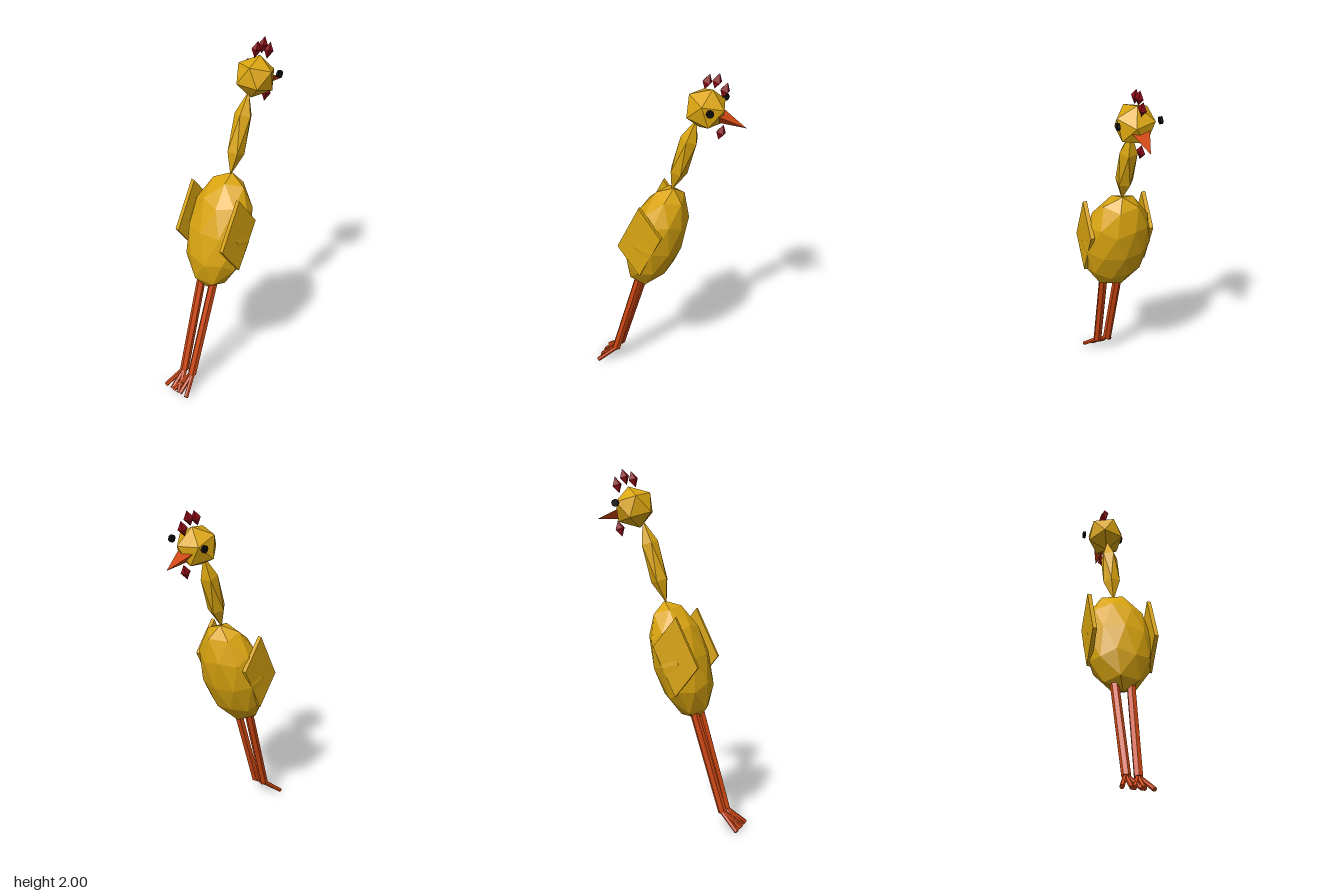
import * as THREE from 'three';

const flat = (name, color) => {
  const m = new THREE.MeshStandardMaterial({ color, flatShading: true });
  m.name = name;
  return m;
};

export function createModel() {
  const model = new THREE.Group();
  model.name = 'bird';
  const feather = flat('golden feather', 0xdaa510);
  const orange = flat('orange skin', 0xcf4712);
  const red = flat('dark red comb', 0x8b0a14);
  const black = flat('black eye', 0x0a0a0a);
  const LEAN = -0.3; // the whole bird leans towards -z

  const add = (name, geometry, material, parent = model) => {
    const mesh = new THREE.Mesh(geometry, material);
    mesh.name = name;
    parent.add(mesh);
    return mesh;
  };

  // Low-poly ball with a corner at each pole, stretched and leaned
  const ball = (name, detail, radii, y, z) => {
    const g = new THREE.IcosahedronGeometry(1, detail);
    g.rotateZ(-Math.atan(2 / (1 + Math.sqrt(5))));
    g.scale(...radii);
    const mesh = add(name, g, feather);
    mesh.position.set(0, y, z);
    mesh.rotation.x = LEAN;
  };
  ball('body', 1, [0.197, 0.345, 0.155], 0.95, 0.07);
  ball('neck', 0, [0.056, 0.24, 0.056], 1.495, -0.09);
  ball('head', 0, [0.116, 0.118, 0.12], 1.793, -0.21);

  // Comb points and the wattle under the beak
  const lozenge = (name, y, z) => {
    const g = new THREE.OctahedronGeometry(1).rotateY(Math.PI / 4);
    g.scale(0.023, 0.047, 0.03);
    const mesh = add(name, g, red);
    mesh.position.set(0, y, z);
    mesh.rotation.x = LEAN;
  };
  [[1.945, -0.215], [1.957, -0.268], [1.913, -0.312]].forEach(([y, z], i) => lozenge('comb' + (i + 1), y, z));
  lozenge('wattle', 1.672, -0.296);

  // Three-sided beak, flat side up
  const beakShape = new THREE.ConeGeometry(0.06, 0.16, 3);
  beakShape.rotateX(-Math.PI / 2); // tip towards -z
  beakShape.computeBoundingBox();
  const up = beakShape.boundingBox;
  if (up.max.y > -up.min.y) beakShape.rotateZ(Math.PI);
  beakShape.scale(1, 0.7, 1);
  const beak = add('beak', beakShape, orange);
  beak.position.set(0, 1.743, -0.358);
  beak.rotation.x = -0.28;

  // Straight rod between two points
  const rod = (name, a, b, radius, parent) => {
    const from = new THREE.Vector3(...a), to = new THREE.Vector3(...b);
    const dir = to.clone().sub(from);
    const mesh = add(name, new THREE.CylinderGeometry(radius, radius, dir.length(), 6), orange, parent);
    mesh.position.copy(from).add(to).multiplyScalar(0.5);
    mesh.quaternion.setFromUnitVectors(new THREE.Vector3(0, 1, 0), dir.normalize());
  };

  // Wing outline in (z, y)
  const wingOutline = new THREE.Shape(
    [[0.1, 1.22], [-0.03, 1.05], [0.1, 0.78], [0.23, 0.95]].map(([z, y]) => new THREE.Vector2(-z, y)));

  for (const [side, s] of [['left', 1], ['right', -1]]) {
    // Flat wing slab standing off the body
    const wingShape = new THREE.ExtrudeGeometry(wingOutline, { depth: 0.023, bevelEnabled: false });
    wingShape.rotateY(Math.PI / 2);
    add(side + 'Wing', wingShape, feather).position.x = s > 0 ? 0.162 : -0.185;

    // Eye disc floating beside the head
    const eye = add(side + 'Eye', new THREE.CylinderGeometry(0.021, 0.021, 0.014, 8), black);
    eye.rotation.z = Math.PI / 2;
    eye.position.set(s * 0.115, 1.822, -0.275);

    // Leg and three spread toes
    const leg = new THREE.Group();
    leg.name = side + 'Leg';
    model.add(leg);
    rod('shin', [s * 0.046, 0.66, 0.165], [s * 0.032, 0.1, 0.33], 0.025, leg);
    for (const spread of [-1, 0, 1]) {
      rod('toe', [s * 0.032 + spread * 0.006, 0.1, 0.33],
        [s * 0.032 + spread * 0.052, 0.012, 0.43], 0.013, leg);
    }
  }
  return model;
}
